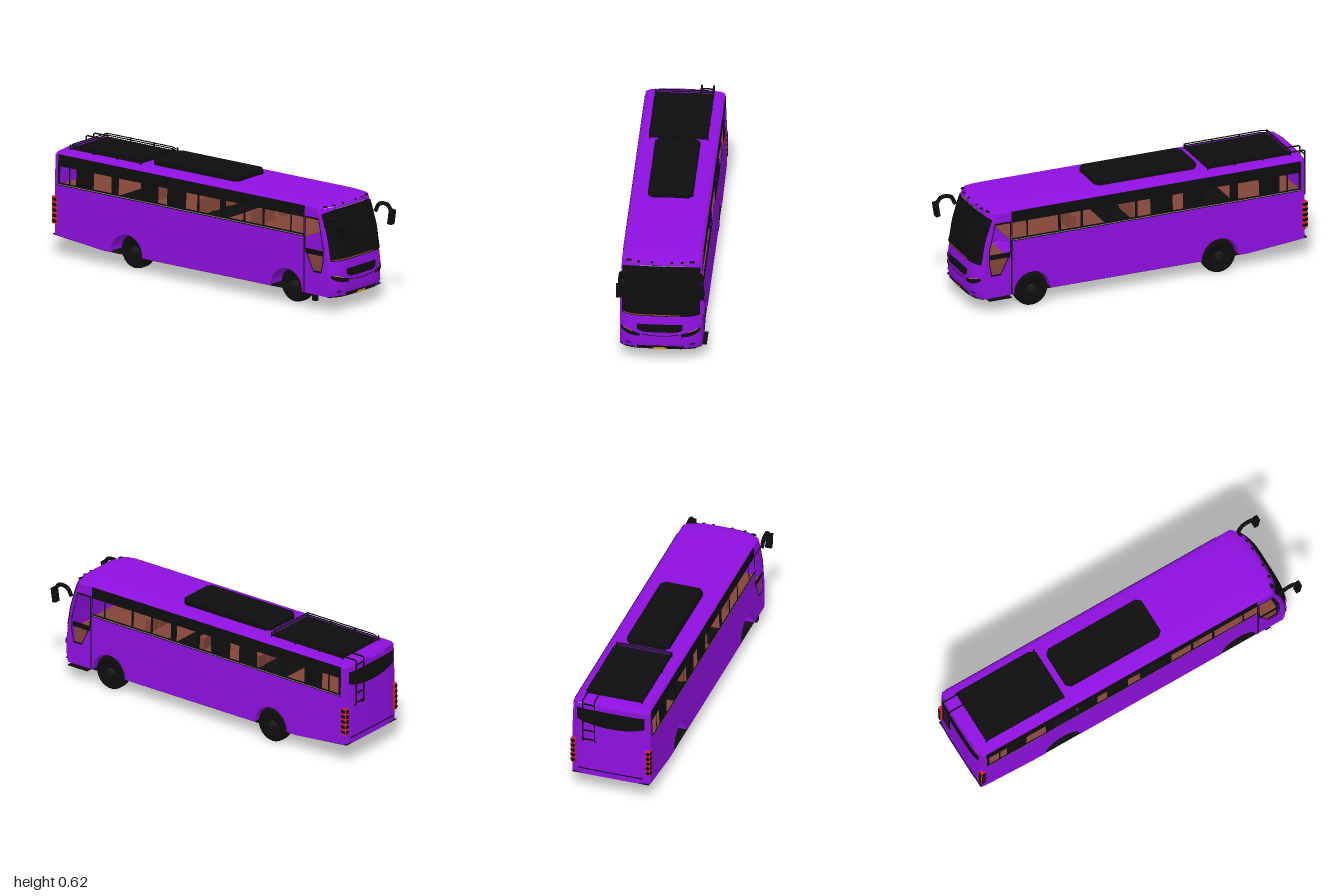
import * as THREE from 'three';

const mat = (name, color) => {
  const m = new THREE.MeshStandardMaterial({ color, side: THREE.DoubleSide });
  m.name = name;
  return m;
};
const lerp = THREE.MathUtils.lerp;

// Piecewise linear lookup in [key, value] pairs
function table(pts, k) {
  for (let i = 1; i < pts.length; i++) {
    const [a, va] = pts[i - 1], [b, vb] = pts[i];
    if (k <= b) return lerp(va, vb, Math.max(0, (k - a) / (b - a)));
  }
  return pts[pts.length - 1][1];
}
const NOSE = [[0.085, 0.94], [0.12, 0.948], [0.2, 0.95], [0.28, 0.94], [0.4, 0.92], [0.5, 0.892], [0.56, 0.87]];
const halfWidth = y => table([[0.085, 0.219], [0.395, 0.219], [0.56, 0.213]], y);
const noseZ = (u, y) => table(NOSE, y) - 0.05 * Math.abs(u) ** 5;
const tailZ = u => -0.985 + 0.02 * Math.abs(u) ** 6;

// Grid surface from a function (s, t) -> [x, y, z]
function grid(nx, ny, fn) {
  const pos = [], idx = [];
  for (let j = 0; j <= ny; j++) for (let i = 0; i <= nx; i++) pos.push(...fn(i / nx, j / ny));
  for (let j = 0; j < ny; j++) for (let i = 0; i < nx; i++) {
    const a = j * (nx + 1) + i, b = a + nx + 1;
    idx.push(a, a + 1, b + 1, a, b + 1, b);
  }
  const g = new THREE.BufferGeometry();
  g.setAttribute('position', new THREE.Float32BufferAttribute(pos, 3));
  g.setIndex(idx);
  g.computeVertexNormals();
  return g;
}

export function createModel() {
  const purple = mat('purple paint', 0x8f10e0), black = mat('black trim', 0x0d0d0d);
  const brown = mat('brown interior', 0x844538), red = mat('red lamp', 0xe02a10);
  const gold = mat('gold plate', 0xd9a020), pale = mat('pale trim', 0x8c8c82), hubGrey = mat('dark hub', 0x1c1c1c);
  const root = new THREE.Group(), bus = new THREE.Group();
  bus.name = 'bus';
  bus.position.x = -0.004;
  root.add(bus);

  const add = (name, geo, m, x = 0, y = 0, z = 0) => {
    const mesh = new THREE.Mesh(geo, m);
    mesh.name = name;
    mesh.position.set(x, y, z);
    bus.add(mesh);
    return mesh;
  };
  const box = (name, m, w, h, d, x, y, z) => add(name, new THREE.BoxGeometry(w, h, d), m, x, y, z);
  const tube = (name, pts, r, m = black) => {
    const path = new THREE.CurvePath();
    for (let i = 1; i < pts.length; i++)
      path.add(new THREE.LineCurve3(new THREE.Vector3(...pts[i - 1]), new THREE.Vector3(...pts[i])));
    return add(name, new THREE.TubeGeometry(path, (pts.length - 1) * 8, r, 6), m);
  };
  // Flat shape drawn in (z, y) and laid on the side wall
  const wall = (name, shape, m, side, off = 0) => {
    const g = new THREE.ShapeGeometry(shape), p = g.attributes.position;
    for (let i = 0; i < p.count; i++) {
      const z = p.getX(i), y = p.getY(i);
      p.setXYZ(i, side * (halfWidth(y) + off), y, z);
    }
    g.computeVertexNormals();
    return add(name, g, m);
  };
  const poly = pts => pts.map(p => new THREE.Vector2(...p));
  const rect = (z0, z1, y0, y1) => poly([[z0, y0], [z1, y0], [z1, y1], [z0, y1]]);
  // Patch following the curved front or back
  const onNose = (name, m, x0, x1, bot, top, off = 0.005) => add(name, grid(24, 10, (s, t) => {
    const x = lerp(x0, x1, s), y = lerp(bot(s), top(s), t);
    return [x, y, noseZ(x / halfWidth(y), y) + off];
  }), m);
  const c = v => () => v;

  // Front and back shells
  add('front shell', grid(32, 24, (s, t) => {
    const u = s * 2 - 1, y = lerp(0.085, 0.56, t);
    return [u * halfWidth(y), y, noseZ(u, y)];
  }), purple);
  add('back shell', grid(32, 8, (s, t) => {
    const u = s * 2 - 1, y = lerp(0.12, 0.56, t);
    return [u * halfWidth(y), y, tailZ(u)];
  }), purple);

  // Roof: cross-sections that flatten at both ends
  const crown = [[-0.213, 0.56], [-0.208, 0.57], [-0.19, 0.578], [-0.1, 0.583], [0, 0.585],
    [0.1, 0.583], [0.19, 0.578], [0.208, 0.57], [0.213, 0.56]];
  const stations = [[0.87, 0, 1], [0.86, 0.4, 1], [0.83, 0.72, 0.9], [0.79, 0.9, 0.5], [0.72, 1, 0],
    [-0.94, 1, 0], [-0.97, 0.85, -0.3], [-0.981, 0.5, -0.4], [-0.985, 0, -0.4]];
  add('roof', grid(8, 8, (s, t) => {
    const [x, y] = crown[Math.round(s * 8)], [z, h, bend] = stations[Math.round(t * 8)];
    return [x, 0.56 + (y - 0.56) * h, z - 0.05 * bend * Math.abs(x / 0.213) ** 5];
  }), purple);

  // Sides with wheel arches, window band and cab window
  const WHEELS = [0.615, -0.475];
  const cab = [[0.745, 0.335], [0.745, 0.5], [0.83, 0.5], [0.862, 0.36], [0.864, 0.29], [0.85, 0.22], [0.8, 0.22]];
  const windows = [[0.65, 0.73], [0.465, 0.64], [0.335, 0.45], [0.2, 0.32], [0.02, 0.16], [-0.07, 0.005],
    [-0.26, -0.2], [-0.53, -0.38], [-0.7, -0.58], [-0.86, -0.82], [-0.93, -0.87]];
  for (const side of [1, -1]) {
    const s = new THREE.Shape();
    NOSE.forEach(([y], i) => s[i ? 'lineTo' : 'moveTo'](noseZ(1, y), y));
    for (const p of [[0.735, 0.56], [0.735, 0.395], [-0.945, 0.395], [-0.945, 0.56], [-0.965, 0.56], [-0.965, 0.12], [-0.65, 0.088]])
      s.lineTo(...p);
    for (const z of [...WHEELS].reverse()) {
      s.lineTo(z - 0.105, 0.088);
      s.absarc(z, 0.095, 0.105, Math.PI, 0, true);
      s.lineTo(z + 0.105, 0.088);
    }
    s.holes.push(new THREE.Path(poly(cab)));
    wall('side panel', s, purple, side);

    const band = new THREE.Shape(rect(-0.945, 0.735, 0.395, 0.564));
    windows.forEach(([a, b]) => band.holes.push(new THREE.Path(rect(a, b, 0.412, 0.5))));
    wall('window band', band, black, side, 0.001);
    wall('waist trim', new THREE.Shape(rect(-0.94, 0.73, 0.4, 0.404)), pale, side, 0.003);

    const frame = new THREE.Shape(poly(cab.map(([z, y]) => [0.808 + (z - 0.808) * 1.1, 0.36 + (y - 0.36) * 1.07])));
    frame.holes.push(new THREE.Path(poly(cab)));
    wall('cab window frame', frame, black, side, 0.002);
    wall('cab window bar', new THREE.Shape(rect(0.745, 0.862, 0.305, 0.335)), black, side, 0.001);
    wall('door seam', new THREE.Shape(rect(0.732, 0.739, 0.09, 0.4)), black, side, 0.002);

    // Mirror on its forward arm
    const arm = new THREE.CatmullRomCurve3([[0.212, 0.47, 0.875], [0.213, 0.512, 0.9], [0.213, 0.517, 0.955], [0.213, 0.485, 0.982]]
      .map(([x, y, z]) => new THREE.Vector3(side * x, y, z)));
    add('mirror arm', new THREE.TubeGeometry(arm, 16, 0.011, 8), black);
    box('mirror head', black, 0.034, 0.08, 0.024, side * 0.216, 0.453, 0.982).rotation.x = 0.15;

    // Headlamp, fog lamp and amber sliver
    const x0 = side * 0.11, x1 = side * 0.211;
    onNose('headlamp', black, x0, x1, q => 0.162 + 0.028 * q ** 3, q => 0.178 + 0.028 * q);
    onNose('headlamp amber edge', gold, side * 0.15, side * 0.2, q => 0.188 + 0.014 * q, q => 0.192 + 0.014 * q, 0.007);
    onNose('fog lamp', black, side * 0.158, side * 0.183, c(0.111), c(0.12));

    // Tail lamp cluster
    box('tail lamp', red, 0.024, 0.15, 0.03, side * 0.21, 0.255, -0.967);
    for (let i = 0; i < 5; i++) {
      const lens = add('tail lamp lens', new THREE.CylinderGeometry(0.011, 0.011, 0.036, 12), black, side * 0.21, 0.195 + i * 0.03, -0.967);
      lens.rotation.x = Math.PI / 2;
      box('tail lamp side cap', black, 0.006, 0.017, 0.022, side * 0.222, 0.195 + i * 0.03, -0.967);
    }
  }

  // Windscreen, grille and bumper details
  onNose('windscreen', black, -0.208, 0.208, c(0.28), q => 0.552 - 0.022 * Math.abs(q * 2 - 1) ** 4);
  onNose('dashboard line', brown, -0.2, 0.105, c(0.285), c(0.291), 0.008);
  onNose('windscreen top seal', pale, -0.12, 0.12, c(0.549), c(0.552), 0.007);
  onNose('grille', black, -0.125, 0.118, q => 0.188 + 0.016 * Math.abs(q * 2 - 1) ** 6, c(0.234));
  onNose('grille lip', black, -0.1, 0.1, q => 0.163 + 0.01 * (q * 2 - 1) ** 2, q => 0.167 + 0.01 * (q * 2 - 1) ** 2);
  onNose('bumper intake', black, -0.125, 0.125, c(0.088), c(0.104));
  onNose('bumper edge', black, -0.218, 0.218, c(0.083), c(0.087), 0.004);
  onNose('number plate', gold, -0.036, 0.03, c(0.083), c(0.097), 0.009);
  for (const x of [-0.175, -0.122, -0.05, 0.056, 0.11, 0.162])
    add('roof marker lamp', new THREE.SphereGeometry(1, 10, 6), black, x, 0.565, 0.863 - 0.05 * Math.abs(x / 0.213) ** 5)
      .scale.set(Math.abs(x) > 0.15 ? 0.017 : 0.009, 0.004, 0.012);

  // Rear window with a curved lower edge
  add('rear window', grid(24, 6, (s, t) => {
    const x = lerp(-0.19, 0.19, s);
    return [x, lerp(0.435 + 0.03 * (s * 2 - 1) ** 2, 0.535, t), tailZ(x / 0.217) - 0.004];
  }), black);
  box('rear bumper seam', black, 0.36, 0.004, 0.006, 0, 0.155, -0.985);

  // Underside
  box('underbody', black, 0.434, 0.004, 1.54, 0, 0.088, 0.12);
  box('front underbody', black, 0.37, 0.004, 0.05, 0, 0.088, 0.909);
  box('rear underbody', black, 0.43, 0.004, 0.335, 0, 0.104, -0.815).rotation.x = 0.098;

  // Interior: cab dash, deck and seat backs
  box('cab dash', brown, 0.41, 0.1, 0.11, 0, 0.245, 0.8);
  for (const [a, b, m] of [[0.73, 0.18, brown], [0.18, 0.02, black], [0.02, -0.36, brown], [-0.36, -0.56, black], [-0.56, -0.95, brown]])
    box('passenger deck', m, 0.42, 0.006, a - b, 0, 0.39, (a + b) / 2);
  for (const z of [0.37, 0.01, -0.36]) for (const x of [-0.16, -0.07, 0.07, 0.16])
    box('seat back', brown, 0.075, 0.08, 0.03, x, 0.43, z).rotation.x = -0.15;

  // Wheels, arch liners and hubs
  const tyre = [[0.05, -0.033], [0.083, -0.033], [0.093, -0.026], [0.095, -0.015], [0.095, 0.015], [0.093, 0.026], [0.083, 0.033], [0.06, 0.033], [0.05, 0.022], [0.0, 0.022]];
  for (const z of WHEELS) {
    const liner = add('wheel arch liner', new THREE.CylinderGeometry(0.105, 0.105, 0.434, 24, 1, true, 0, Math.PI), purple, 0, 0.095, z);
    liner.rotation.z = Math.PI / 2;
    for (const x of [0.179, -0.119]) {
      const wheel = new THREE.Group(), side = Math.sign(x);
      wheel.name = 'wheel';
      wheel.position.set(x, 0.095, z);
      wheel.rotation.z = -side * Math.PI / 2;
      const t = new THREE.Mesh(new THREE.LatheGeometry(poly(tyre), 28), black);
      t.name = 'tyre';
      const h = new THREE.Mesh(new THREE.CylinderGeometry(0.022, 0.03, 0.022, 16), hubGrey);
      h.name = 'hub';
      h.position.y = 0.022;
      wheel.add(t, h);
      bus.add(wheel);
    }
    tube('axle', [[-0.12, 0.095, z], [0.18, 0.095, z]], 0.012);
  }

  // Roof unit with bevelled top
  const pod = new THREE.Shape(poly([[-0.1, -0.2], [-0.12, -0.18], [-0.12, 0.37], [-0.1, 0.39], [0.1, 0.39], [0.12, 0.37], [0.12, -0.18], [0.1, -0.2]]
    .map(([x, y]) => [x * 0.93, y * 0.97])));
  add('roof air unit', new THREE.ExtrudeGeometry(pod, { depth: 0.02, bevelThickness: 0.012, bevelSize: 0.009, bevelSegments: 2 })
    .rotateX(-Math.PI / 2), black, 0, 0.583, 0);

  // Luggage rack
  box('rack floor', black, 0.31, 0.006, 0.48, 0, 0.588, -0.67);
  for (const y of [0.598, 0.608])
    tube('rack rail', [[-0.155, y, -0.43], [0.155, y, -0.43], [0.155, y, -0.91], [-0.155, y, -0.91], [-0.155, y, -0.43]], 0.003);
  for (const x of [-0.155, 0.155]) for (let i = 0; i < 4; i++)
    box('rack post', black, 0.006, 0.03, 0.006, x, 0.594, -0.43 - i * 0.16);

  // Rear ladder
  for (const x of [0.085, 0.15])
    tube('ladder rail', [[x, 0.585, -0.9], [x, 0.596, -0.905], [x, 0.596, -0.996], [x, 0.335, -0.996], [x, 0.335, -0.98]], 0.004);
  for (let i = 0; i < 5; i++) tube('ladder rung', [[0.085, 0.35 + i * 0.055, -0.996], [0.15, 0.35 + i * 0.055, -0.996]], 0.004);

  // Door step and bracket below the cab
  box('cab step', black, 0.04, 0.006, 0.13, 0.222, 0.081, 0.81);
  box('step bracket', black, 0.02, 0.03, 0.03, -0.205, 0.066, 0.8);
  box('under step', black, 0.08, 0.008, 0.1, -0.15, 0.08, 0.8);
  return root;
}
